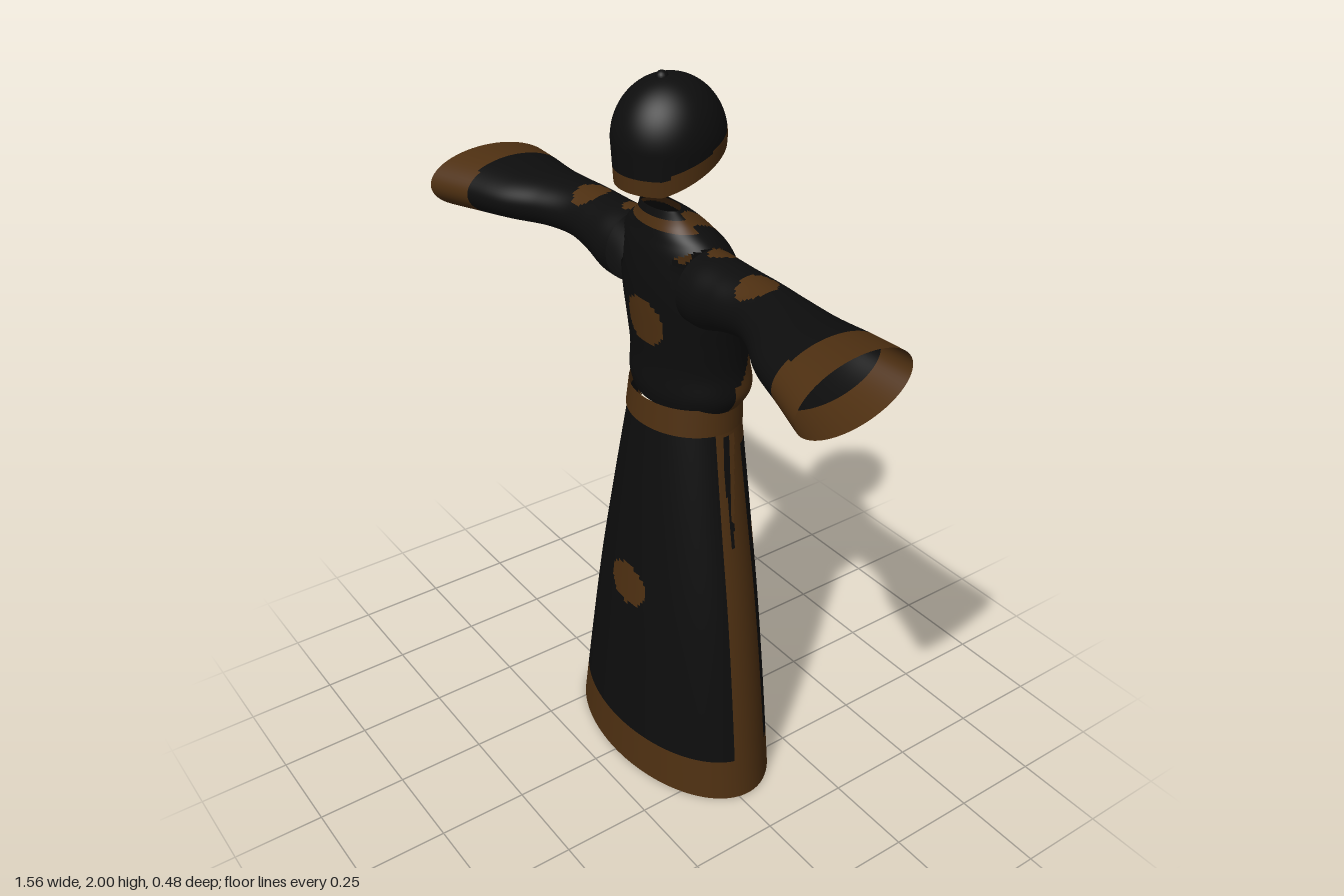
import * as THREE from 'three';

const black = new THREE.MeshStandardMaterial({ color: 0x0d0d0d, side: THREE.DoubleSide });
black.name = 'black cloth';
const brown = new THREE.MeshStandardMaterial({ color: 0x4d2f11, side: THREE.DoubleSide });
brown.name = 'brown trim';

// Smooth interpolation through rows of numbers, t from 0 to 1
function sampleRows(rows, t) {
  const n = rows.length - 1;
  const i = Math.min(Math.floor(t * n), n - 1);
  const f = t * n - i;
  const at = k => rows[THREE.MathUtils.clamp(k, 0, n)];
  return rows[0].map((_, c) => {
    const [p0, p1, p2, p3] = [at(i - 1)[c], at(i)[c], at(i + 1)[c], at(i + 2)[c]];
    return p1 + 0.5 * f * (p2 - p0 + f * (2 * p0 - 5 * p1 + 4 * p2 - p3 + f * (3 * (p1 - p2) + p3 - p0)));
  });
}

// Closed tube of cloth: point(angle, t) gives the position and
// pick(position, angle) gives 0 for black, 1 for brown, -1 for an opening
function cloth(name, around, along, point, pick) {
  const pos = [], lists = [[], []], mid = new THREE.Vector3();
  for (let j = 0; j <= along; j++) {
    for (let i = 0; i < around; i++) pos.push(...point((i / around) * Math.PI * 2 - Math.PI, j / along));
  }
  for (let j = 0; j < along; j++) {
    for (let i = 0; i < around; i++) {
      const a = j * around + i, b = j * around + (i + 1) % around;
      const c = a + around, d = b + around;
      const angle = ((i + 0.5) / around) * Math.PI * 2 - Math.PI;
      mid.set(...point(angle, (j + 0.5) / along));
      const k = pick(mid, angle);
      if (k >= 0) lists[k].push(a, c, b, b, c, d);
    }
  }
  const geo = new THREE.BufferGeometry();
  geo.setAttribute('position', new THREE.Float32BufferAttribute(pos, 3));
  geo.setIndex([...lists[0], ...lists[1]]);
  geo.addGroup(0, lists[0].length, 0);
  geo.addGroup(lists[0].length, lists[1].length, 1);
  geo.computeVertexNormals();
  const mesh = new THREE.Mesh(geo, [black, brown]);
  mesh.name = name;
  return mesh;
}

// Upright oval rings from rows of [y, half width, z max, z min]; angle 0 faces -z
const ovals = (rows, inset = 0) => (angle, t) => {
  const [y, a, z1, z0] = sampleRows(rows, t);
  return [(a - inset) * Math.sin(angle), y, (z1 + z0) / 2 - ((z1 - z0) / 2 - inset) * Math.cos(angle)];
};

const inOval = (u, v, cu, cv, ru, rv) => ((u - cu) / ru) ** 2 + ((v - cv) / rv) ** 2 < 1;

// Distance from (x, y) to the segment a-b, for the crossing collar
function toSegment(x, y, [ax, ay], [bx, by]) {
  const dx = bx - ax, dy = by - ay;
  const t = THREE.MathUtils.clamp(((x - ax) * dx + (y - ay) * dy) / (dx * dx + dy * dy), 0, 1);
  return Math.hypot(x - ax - t * dx, y - ay - t * dy);
}

const skirtRows = [
  [0, 0.365, 0.18, -0.24], [0.28, 0.325, 0.157, -0.232], [0.56, 0.28, 0.133, -0.222],
  [0.84, 0.224, 0.105, -0.21], [1.12, 0.168, 0.072, -0.195],
];

function skirtColour(p, angle) {
  const s = Math.abs(angle), { x, y, z } = p;
  // side slits
  if (y > 0.75 && y < 1.08 && z < -0.048 && z > -0.05 - 0.045 * (y - 0.75) / 0.325) return -1;
  // hem
  if (y < 0.125) return 1;
  // medallions
  if (z > 0 && inOval(x, y, 0, 0.59, 0.08, 0.06)) return 1;
  const width = 0.5 - 0.27 * y;
  if ([0.33, 0.755].some(h => inOval(s * width, y, 0.8 * width, h, 0.045, 0.037))) return 1;
  // centre bands, side bands and top edging
  if (s > 0.07 && s < 0.46) return 1;
  if (s > 1.13 && s < 1.75) return 1;
  return s < 1.75 && s > 0.07 && y > 1.03 ? 1 : 0;
}

const bodiceRows = [
  [1.15, 0.172, 0.055, -0.2], [1.19, 0.19, 0.062, -0.22], [1.26, 0.184, 0.06, -0.21],
  [1.34, 0.19, 0.066, -0.2], [1.42, 0.2, 0.072, -0.19], [1.5, 0.197, 0.075, -0.168],
  [1.57, 0.183, 0.07, -0.137], [1.61, 0.15, 0.062, -0.105], [1.645, 0.1, 0.056, -0.07],
  [1.68, 0.07, 0.05, -0.02],
];

function bodiceColour({ x, y, z }, angle) {
  const back = Math.abs(angle) < Math.PI / 2;
  // armholes
  if (Math.abs(x) > 0.1 && inOval(z, y, -0.015, 1.535, 0.083, 0.07)) return -1;
  // chest medallion
  if (!back && inOval(x, y, 0, 1.38, 0.075, 0.063)) return 1;
  // collar and crossing lapels
  if (!back) return y > 1.632 && y < 1.662 ? 1 : 0;
  if (toSegment(x, y, [-0.075, 1.65], [0.18, 1.17]) < 0.03) return 1;
  if (toSegment(x, y, [0.075, 1.65], [-0.01, 1.52]) < 0.024) return 1;
  // small medallions
  return inOval(Math.abs(x), y, 0.14, 1.47, 0.034, 0.046) ? 1 : 0;
}

// Sleeve rings: [x, y top, y bottom, z max, z min]
const sleeveRows = [
  [0.15, 1.6, 1.41, 0.078, -0.115], [0.2, 1.602, 1.415, 0.08, -0.108], [0.27, 1.6, 1.438, 0.074, -0.102],
  [0.36, 1.598, 1.455, 0.073, -0.1], [0.45, 1.596, 1.461, 0.105, -0.1], [0.55, 1.597, 1.455, 0.16, -0.104],
  [0.66, 1.605, 1.442, 0.198, -0.113], [0.765, 1.608, 1.432, 0.238, -0.122],
];

function sleeve(name, side, dotX) {
  const point = (angle, t) => {
    const [x, y1, y0, z1, z0] = sampleRows(sleeveRows, t);
    const y = (y1 + y0) / 2 + (y1 - y0) / 2 * Math.cos(angle);
    const z = (z1 + z0) / 2 + (z1 - z0) / 2 * Math.sin(angle) * side;
    const slant = Math.max(0, (x - 0.6) / 0.165) * 0.1;
    return [side * (x + slant * (z - 0.08)), y, z];
  };
  return cloth(name, 64, 70, point, ({ x, y, z }) => {
    const reach = Math.abs(x);
    if (reach > 0.657) return 1;
    if (y < 1.53) return 0;
    return inOval(reach, z, dotX, 0, 0.045, 0.053) || inOval(reach, z, 0.18, -0.04, 0.03, 0.04) ? 1 : 0;
  });
}

// Cap: a dome whose rim rises towards -z
function cap() {
  const rim = z => 1.735 + Math.max(0, 0.08 - z) * 0.43;
  const point = (angle, t) => {
    const y = 1.99 - (1.99 - rim(-0.01 - 0.14 * Math.cos(angle))) * t * t;
    const r = y > 1.84 ? Math.sqrt(Math.max(0, 1 - ((y - 1.84) / 0.15) ** 2)) : 1 - (1.84 - y) * 0.45;
    return [-0.132 * r * Math.sin(angle), y, -0.01 - 0.142 * r * Math.cos(angle)];
  };
  return cloth('cap', 80, 50, point, ({ y, z }) => (y < rim(z) + 0.042 ? 1 : 0));
}

export function createModel() {
  const model = new THREE.Group();
  model.name = 'robe and cap';

  model.add(cloth('skirt', 200, 96, ovals(skirtRows), skirtColour));
  // dark lining inside the lower skirt
  model.add(cloth('skirtLining', 80, 20, (angle, t) => ovals(skirtRows, 0.005)(angle, t * 0.6), () => 0));
  model.add(cloth('belt', 80, 4, ovals([[1.09, 0.176, 0.082, -0.202], [1.165, 0.168, 0.074, -0.202]]), () => 1));
  model.add(cloth('bodice', 150, 72, ovals(bodiceRows), bodiceColour));
  model.add(sleeve('leftSleeve', 1, 0.36), sleeve('rightSleeve', -1, 0.33));
  model.add(cap());

  const knob = new THREE.Mesh(new THREE.SphereGeometry(0.016, 16, 12), black);
  knob.name = 'capKnob';
  knob.position.set(0, 1.984, 0.01);
  model.add(knob);
  return model;
}
